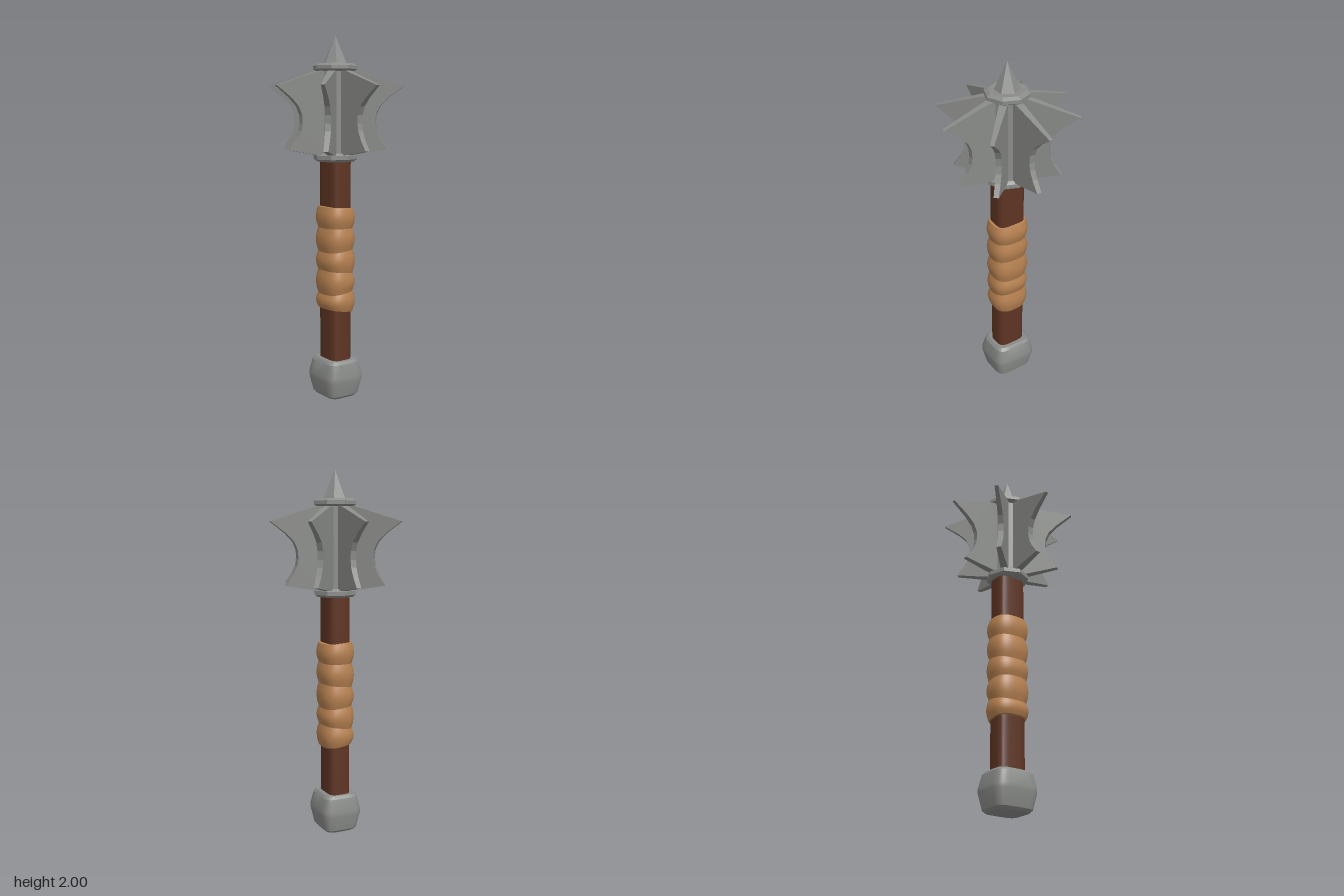
import * as THREE from 'three';
import { toCreasedNormals } from 'three/addons/utils/BufferGeometryUtils.js';

// Lofts capped superellipse sections [y, halfX, halfZ, tilt] from bottom to top.
function loft(sections, power, crease, segments = 40) {
  const pos = [], index = [];
  const bend = (v) => Math.sign(v) * Math.pow(Math.abs(v), 2 / power);
  for (const [y, a, b, tilt = 0] of sections) {
    for (let i = 0; i < segments; i++) {
      const t = (i / segments) * Math.PI * 2;
      const z = b * bend(Math.sin(t));
      pos.push(a * bend(Math.cos(t)), y + tilt * z, z);
    }
  }
  const last = (sections.length - 1) * segments;
  const bottom = pos.length / 3, top = bottom + 1;
  pos.push(0, sections[0][0], 0, 0, sections[sections.length - 1][0], 0);
  for (let i = 0; i < segments; i++) {
    const n = (i + 1) % segments;
    for (let r = 0; r < last; r += segments) {
      const a = r + i, b = r + n, c = a + segments, d = b + segments;
      index.push(a, c, b, b, c, d);
    }
    index.push(bottom, i, n, top, last + n, last + i);
  }
  const g = new THREE.BufferGeometry();
  g.setAttribute('position', new THREE.Float32BufferAttribute(pos, 3));
  g.setIndex(index);
  return toCreasedNormals(g, crease);
}

// Eight-sided turned part with flat faces.
function octagon(profile) {
  const points = profile.map(([r, y]) => new THREE.Vector2(r, y));
  const g = new THREE.LatheGeometry(points, 8).toNonIndexed();
  g.computeVertexNormals();
  return g;
}

// Flange: concave two-pointed outline that thins towards its outer edge.
function flangeGeometry() {
  const outline = [
    [0.06, 1.355], [0.13, 1.36], [0.29, 1.387], [0.25, 1.445], [0.229, 1.49],
    [0.222, 1.53], [0.225, 1.575], [0.245, 1.62], [0.29, 1.665], [0.376, 1.728],
    [0.12, 1.806], [0.06, 1.81],
  ];
  const shape = new THREE.Shape(outline.map(([x, y]) => new THREE.Vector2(x, y)));
  const g = new THREE.ExtrudeGeometry(shape, { depth: 1, bevelEnabled: false });
  const p = g.attributes.position;
  for (let i = 0; i < p.count; i++) {
    const half = 0.02 - (p.getX(i) - 0.12) * 0.04;
    p.setZ(i, p.getZ(i) > 0.5 ? half : -half);
  }
  g.computeVertexNormals();
  return g;
}

export function createModel() {
  const model = new THREE.Group();
  model.name = 'mace';
  const material = (name, color) => {
    const m = new THREE.MeshStandardMaterial({ color });
    m.name = name;
    return m;
  };
  const steel = material('steel', 0x8a8c89);
  const wood = material('dark wood', 0x5e3423);
  const leather = material('tan leather', 0xb58050);
  const flatSteel = steel;

  const add = (name, geometry, mat, parent = model) => {
    const mesh = new THREE.Mesh(geometry, mat);
    mesh.name = name;
    parent.add(mesh);
    return mesh;
  };

  // Barrel-sided pommel with softened rims
  add('pommel', loft([
    [0, 0.098, 0.085], [0.014, 0.112, 0.098], [0.1, 0.131, 0.116],
    [0.125, 0.131, 0.116], [0.197, 0.114, 0.1], [0.212, 0.1, 0.087],
  ], 4.8, 0.5), steel);

  // Handle
  add('handle', loft([[0.2, 0.084, 0.064], [1.34, 0.084, 0.064]], 4, 0.6), wood);

  // Leather wrap: five bulging bands, their seams slightly tilted
  const seams = [
    [0.492, 0.14], [0.595, -0.14], [0.71, 0.11], [0.83, -0.11], [0.955, 0], [1.068, 0.06],
  ];
  const wrap = [[seams[0][0], 0.086, 0.068, seams[0][1]]];
  const steps = 4;
  for (let s = 0; s < seams.length - 1; s++) {
    const [y0, t0] = seams[s], [y1, t1] = seams[s + 1];
    for (let k = s === 0 ? 0 : 1; k <= steps; k++) {
      const f = k / steps, bulge = 0.013 * Math.sin(f * Math.PI);
      wrap.push([y0 + (y1 - y0) * f, 0.098 + bulge, 0.082 + bulge, t0 + (t1 - t0) * f]);
    }
  }
  wrap.push([1.07, 0.086, 0.068, 0.06]);
  add('gripWrap', loft(wrap, 2.6, 0.45), leather);

  // Head: core, collars, spike and eight flanges
  const head = new THREE.Group();
  head.name = 'head';
  model.add(head);
  add('core', octagon([[0.094, 1.34], [0.094, 1.83]]), flatSteel, head);
  add('lowerCollar', octagon([
    [0.001, 1.32], [0.102, 1.32], [0.12, 1.333], [0.12, 1.355], [0.102, 1.368], [0.09, 1.368],
  ]), flatSteel, head);
  add('upperCollar', octagon([
    [0.09, 1.806], [0.102, 1.806], [0.121, 1.817], [0.121, 1.836], [0.1, 1.848], [0.001, 1.848],
  ]), flatSteel, head);

  const spike = new THREE.ConeGeometry(0.068, 0.155, 6).toNonIndexed();
  spike.computeVertexNormals();
  add('spike', spike, flatSteel, head).position.y = 1.9225;

  const flange = flangeGeometry();
  for (let i = 0; i < 8; i++) {
    add('flange', flange, flatSteel, head).rotation.y = (i * Math.PI) / 4;
  }
  return model;
}
